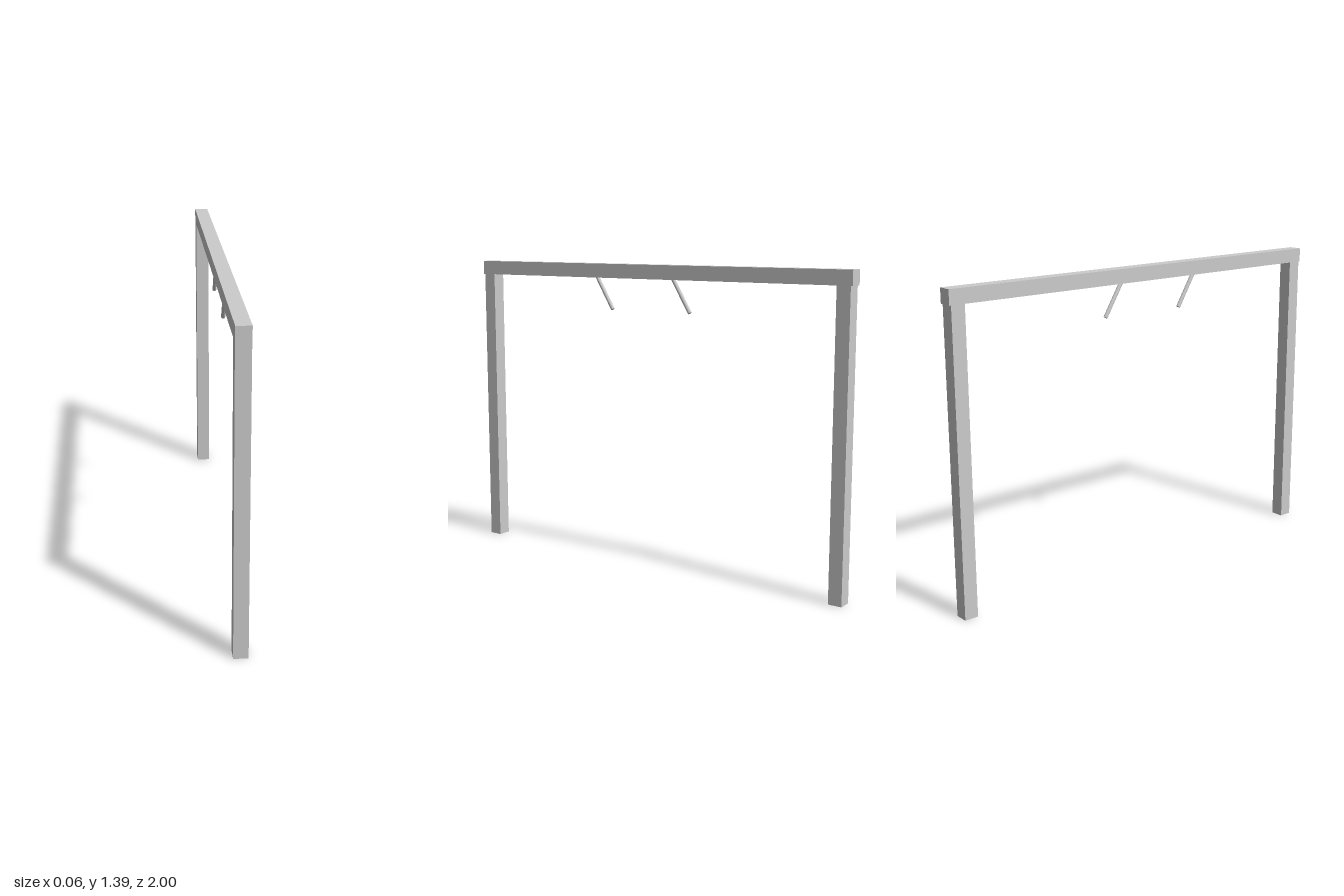
import * as THREE from 'three';

const material = new THREE.MeshStandardMaterial({ color: 0xcccccc });

function addBox(group, name, size, position) {
  const mesh = new THREE.Mesh(new THREE.BoxGeometry(...size), material);
  mesh.name = name;
  mesh.position.set(...position);
  group.add(mesh);
}

// Round rod between two points
function addRod(group, name, from, to, radius) {
  const axis = to.clone().sub(from);
  const mesh = new THREE.Mesh(new THREE.CylinderGeometry(radius, radius, axis.length(), 16), material);
  mesh.name = name;
  mesh.position.copy(from).add(to).multiplyScalar(0.5);
  mesh.quaternion.setFromUnitVectors(new THREE.Vector3(0, 1, 0), axis.normalize());
  group.add(mesh);
}

export function createModel() {
  const group = new THREE.Group();
  group.name = 'frame';
  const width = 0.062, postHeight = 1.322, top = 1.386;

  // Top beam, slightly overhanging the posts
  addBox(group, 'topBeam', [width, top - postHeight, 2], [0, (top + postHeight) / 2, 0]);

  // Square posts at both ends
  for (const [name, side] of [['frontPost', 1], ['backPost', -1]]) {
    addBox(group, name, [width, postHeight, width], [0, postHeight / 2, side * 0.961]);
  }

  // Slanted pegs hanging under the beam
  for (const [name, z] of [['frontPeg', 0.306], ['backPeg', -0.12]]) {
    addRod(group, name,
      new THREE.Vector3(0, 1.328, z + 0.003),
      new THREE.Vector3(0, 1.178, z - 0.089), 0.009);
  }
  return group;
}
